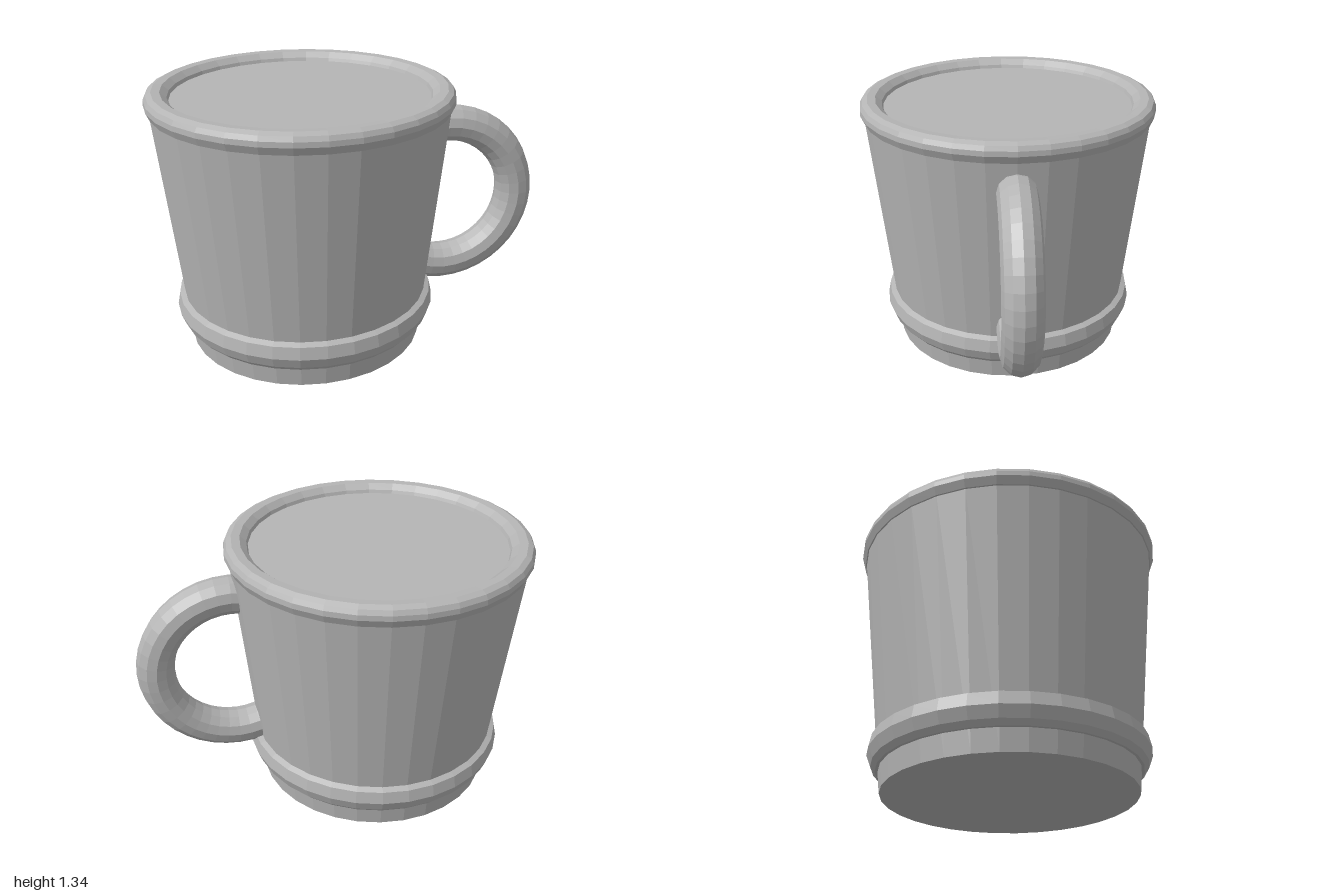
import * as THREE from 'three';

const SIDES = 32;
const CENTRE_X = -0.24;

// Revolves a list of [radius, height] points around the cup axis.
function lathe(name, profile, material) {
  const points = profile.map(([r, y]) => new THREE.Vector2(r, y));
  const mesh = new THREE.Mesh(new THREE.LatheGeometry(points, SIDES), material);
  mesh.name = name;
  mesh.position.x = CENTRE_X;
  return mesh;
}

export function createModel() {
  const grey = new THREE.MeshStandardMaterial({ color: 0xb4b4b4, flatShading: true });
  grey.name = 'grey';

  const group = new THREE.Group();
  group.name = 'mug';

  // Tapered wall with a closed base and the flat fill just below the rim
  group.add(lathe('body', [[0, 0], [0.61, 0], [0.74, 1.24]], grey));
  group.add(lathe('fill', [[0.66, 1.288], [0, 1.288]], grey));

  // Rounded lip, closed on the inside
  group.add(lathe('rim', [
    [0.64, 1.285], [0.68, 1.24], [0.725, 1.23], [0.745, 1.237], [0.762, 1.275],
    [0.76, 1.3], [0.748, 1.322], [0.722, 1.335], [0.68, 1.332], [0.648, 1.305], [0.64, 1.285],
  ], grey));

  // Raised band near the foot
  group.add(lathe('band', [
    [0.6, 0.105], [0.635, 0.105], [0.657, 0.13], [0.678, 0.185],
    [0.665, 0.247], [0.637, 0.26], [0.6, 0.26],
  ], grey));

  // Ring handle whose ends run into the wall
  const start = THREE.MathUtils.degToRad(-126);
  const arc = THREE.MathUtils.degToRad(234);
  const handle = new THREE.Mesh(new THREE.TorusGeometry(0.395, 0.096, 12, 26, arc), grey);
  handle.name = 'handle';
  handle.rotation.z = start;
  handle.position.set(0.509, 0.693, 0);
  group.add(handle);

  return group;
}
